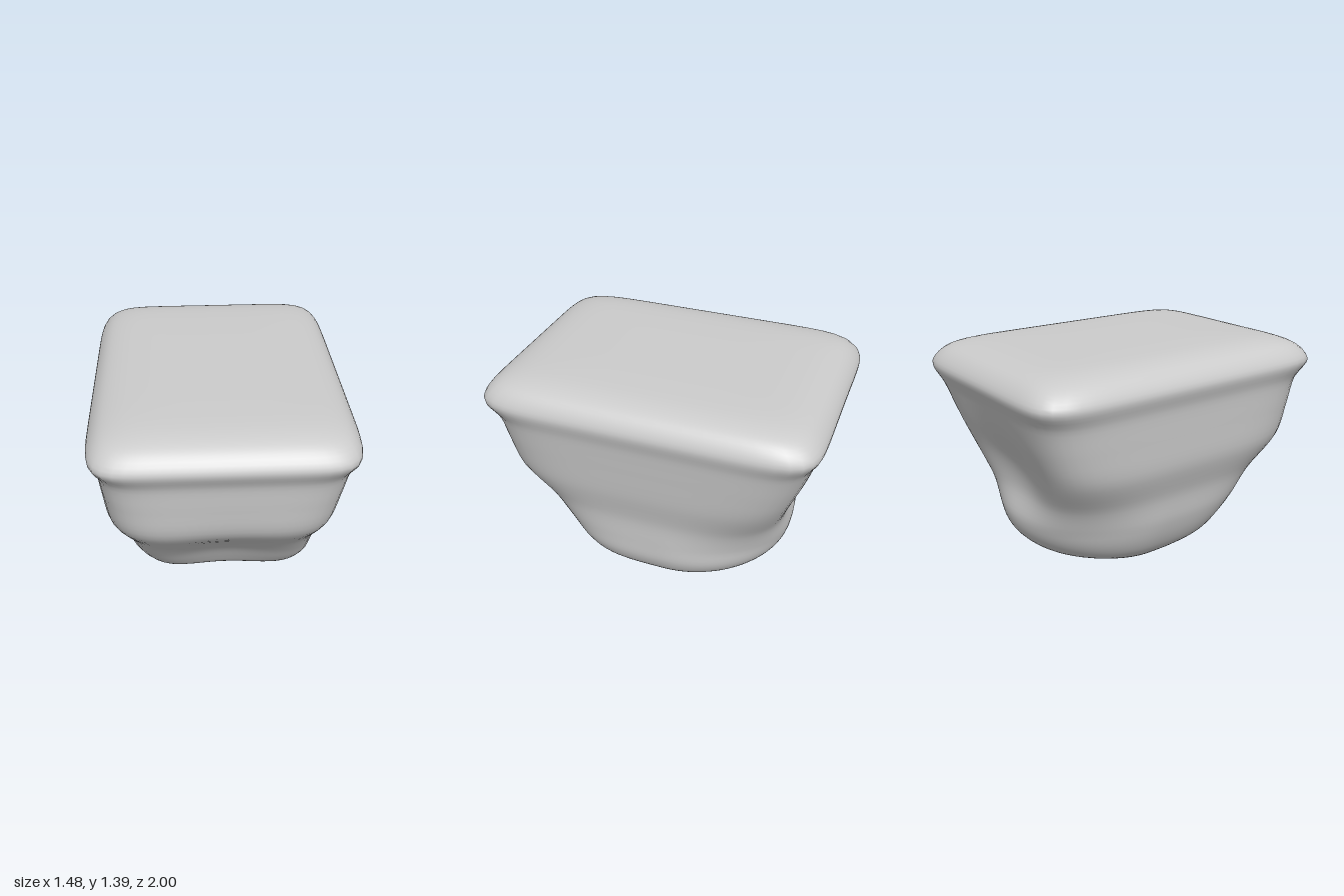
import * as THREE from 'three';

// Cross-sections from top to bottom: y, xMin, xMax, zMin, zMax, squareness
const LEVELS = [
  [1.39, 0, 0, 0, 0, 8],
  [1.39, -0.28, 0.29, -0.4, 0.4, 8],
  [1.378, -0.53, 0.55, -0.76, 0.76, 8],
  [1.335, -0.67, 0.68, -0.92, 0.92, 9],
  [1.24, -0.74, 0.74, -1.0, 1.0, 9],
  [1.12, -0.71, 0.715, -0.96, 0.955, 7],
  [0.95, -0.695, 0.69, -0.91, 0.935, 6],
  [0.75, -0.675, 0.66, -0.85, 0.905, 5],
  [0.55, -0.605, 0.615, -0.82, 0.765, 4.3],
  [0.38, -0.575, 0.605, -0.82, 0.645, 4.2],
  [0.25, -0.53, 0.595, -0.76, 0.555, 4],
  [0.15, -0.47, 0.545, -0.65, 0.46, 3.8],
  [0.07, -0.37, 0.42, -0.44, 0.3, 3],
  [0.02, -0.23, 0.12, -0.2, 0.18, 2.5],
  [0, -0.1, -0.1, 0, 0, 2],
];
const ROWS = 70, SEGS = 112;

const bump = (v, centre, width) => Math.exp(-(((v - centre) / width) ** 2));

// Smooth blend through three columns of the section table
const columns = (a, b, c) => new THREE.CatmullRomCurve3(
  LEVELS.map((l) => new THREE.Vector3(l[a], l[b], l[c])), false, 'catmullrom', 0.45);

function rockGeometry() {
  const across = columns(0, 1, 2), along = columns(3, 4, 5);
  const positions = [], indices = [];
  for (let i = 0; i <= ROWS; i++) {
    const { x: y, y: x0, z: x1 } = across.getPoint(i / ROWS);
    const { x: z0, y: z1, z: frontPower } = along.getPoint(i / ROWS);
    // The back corners wear round towards the foot, the front ones stay squarer
    const backPower = THREE.MathUtils.lerp(2, frontPower, THREE.MathUtils.smoothstep(y, 0.33, 0.85));
    for (let j = 0; j < SEGS; j++) {
      const a = (j / SEGS) * Math.PI * 2;
      const c = Math.cos(a), s = Math.sin(a);
      const p = s > 0 ? frontPower : backPower;
      const r = (Math.abs(c) ** p + Math.abs(s) ** p) ** (-1 / p);
      const u = c * r, w = s * r;
      const x = (x0 + x1) / 2 + (u * (x1 - x0)) / 2;
      let z = (z0 + z1) / 2 + (w * (z1 - z0)) / 2;
      // Hollows worn into the front and back
      const face = Math.abs(w) ** 4;
      if (w > 0) z -= face * 0.1 * bump(x, 0.03, 0.36) * bump(y, 0.35, 0.3);
      else z += face * 0.08 * bump(x, -0.06, 0.35) * bump(y, 0.6, 0.32);
      positions.push(x, Math.max(0, y), z);
      if (i < ROWS) {
        const k = (j + 1) % SEGS;
        const p0 = i * SEGS + j, p1 = i * SEGS + k;
        indices.push(p0, p1, p0 + SEGS, p1, p1 + SEGS, p0 + SEGS);
      }
    }
  }
  const geometry = new THREE.BufferGeometry();
  geometry.setAttribute('position', new THREE.Float32BufferAttribute(positions, 3));
  geometry.setIndex(indices);
  geometry.computeVertexNormals();
  return geometry;
}

export function createModel() {
  const group = new THREE.Group();
  group.name = 'rockPlatform';
  const rock = new THREE.Mesh(rockGeometry(), new THREE.MeshStandardMaterial({ color: 0xcccccc }));
  rock.name = 'rockBlock';
  group.add(rock);
  return group;
}
